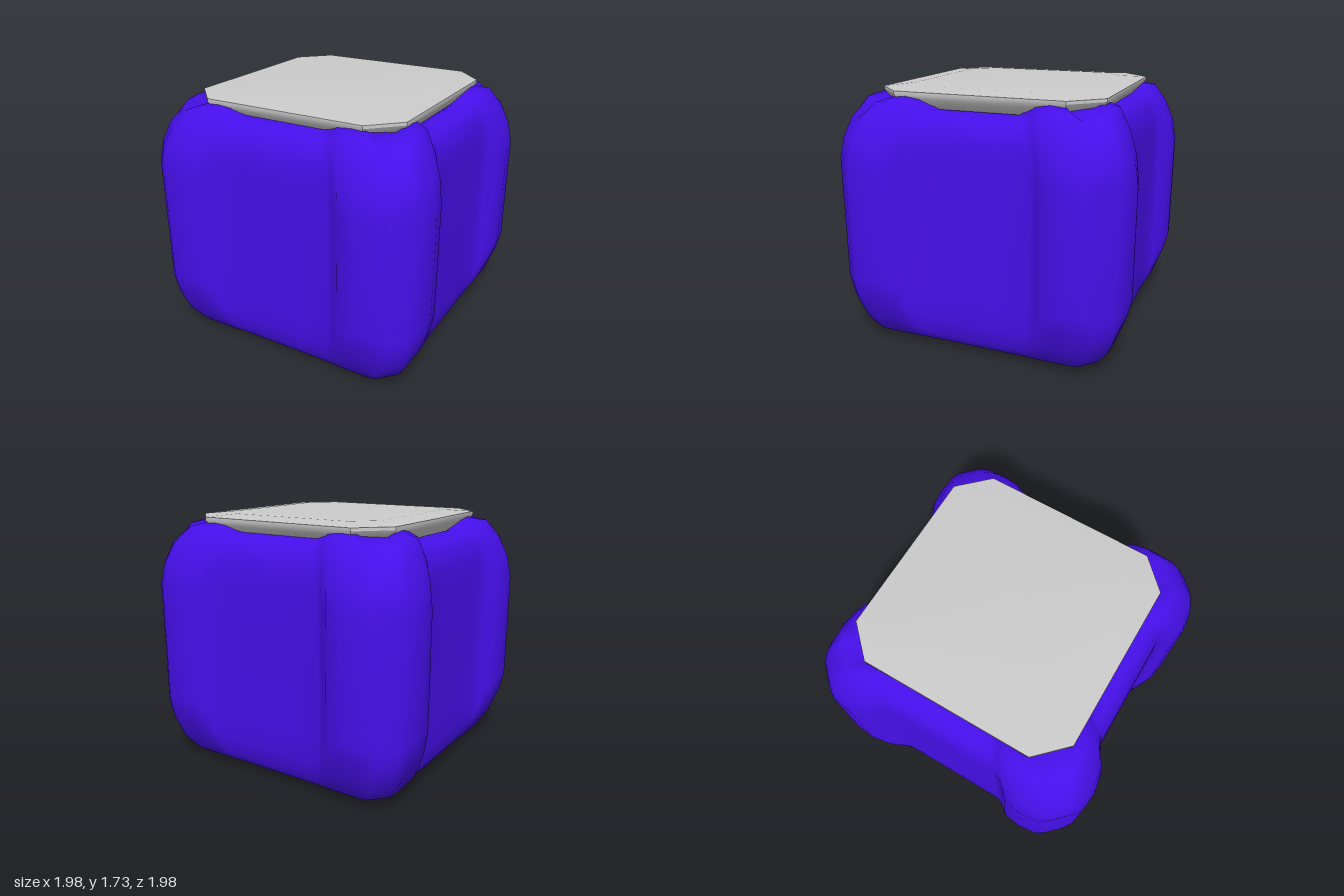
import * as THREE from 'three';
import { toCreasedNormals } from 'three/addons/utils/BufferGeometryUtils.js';

// Skins closed rings of [x, y, z] points, stacked from bottom to top, with capped ends
function loft(rings) {
  const n = rings[0].length, pos = rings.flat(2), idx = [];
  for (let k = 0; k < rings.length - 1; k++) {
    for (let i = 0; i < n; i++) {
      const j = (i + 1) % n, a = k * n + i, b = k * n + j;
      idx.push(a, b, b + n, a, b + n, a + n);
    }
  }
  const cap = (ring, base, up) => {
    const c = pos.length / 3;
    pos.push(0, ring.reduce((s, p) => s + p[1], 0) / n, 0);
    for (let i = 0; i < n; i++) {
      const j = (i + 1) % n;
      if (up) idx.push(base + i, base + j, c);
      else idx.push(base + j, base + i, c);
    }
  };
  cap(rings[0], 0, false);
  cap(rings[rings.length - 1], (rings.length - 1) * n, true);
  const g = new THREE.BufferGeometry();
  g.setAttribute('position', new THREE.Float32BufferAttribute(pos, 3));
  g.setIndex(idx);
  g.computeVertexNormals();
  return g;
}

// Turns a point of the front side onto side s (quarter turns about y)
function turn(x, y, z, s) {
  const c = [1, 0, -1, 0][s], k = [0, 1, 0, -1][s];
  return [c * x + k * z, y, -k * x + c * z];
}

// Half of one side in plan: [distance from middle, bulge of the corner post 0..1]
const half = [[0.2, 0], [0.4, 0], [0.46, 0.3], [0.52, 0.8], [0.64, 1], [0.78, 0.85], [0.84, 0.45]];
const side = [...half.map(([u, t]) => [-u, t]).reverse(), [0, 0], ...half];

// Levels: wall distance, wall height, post distance, post height
const levels = [
  [0.6, 0, 0.6, 0.01], [0.68, 0.015, 0.66, 0.02], [0.8, 0.06, 0.82, 0.07],
  [0.85, 0.13, 0.9, 0.21], [0.87, 0.25, 0.96, 0.37], [0.875, 0.4, 0.99, 0.5],
  [0.875, 0.85, 0.99, 0.86], [0.875, 1.3, 0.99, 1.22], [0.87, 1.42, 0.96, 1.38],
  [0.845, 1.53, 0.9, 1.53], [0.79, 1.6, 0.82, 1.66], [0.7, 1.635, 0.68, 1.695],
  [0.62, 1.6, 0.58, 1.62],
];

function bodyRing([w, yw, c, yc], k) {
  const ring = [];
  for (let s = 0; s < 4; s++) {
    for (const [u, t] of side) {
      // The two side walls end a little lower than the front and back
      const drop = k > 9 && s % 2 ? 0.03 * (1 - t) : 0;
      ring.push(turn(u * c / 0.99, yw + t * (yc - yw) - drop, w + t * (c - w), s));
    }
  }
  return ring;
}

// Octagonal lid ring: half width and height
function lidRing([r, y]) {
  const ring = [];
  for (let s = 0; s < 4; s++) {
    for (const u of [-0.75, 0.75]) {
      const p = turn(u * r, y, r, s);
      if (p[2] < 0) p[2] *= 1.03;
      ring.push(p);
    }
  }
  return ring;
}

export function createModel() {
  const group = new THREE.Group();

  // Rounded block with four bulging corner posts
  const body = new THREE.Mesh(
    loft(levels.map(bodyRing)),
    new THREE.MeshStandardMaterial({ color: 0x460fea }),
  );
  body.name = 'body';
  group.add(body);

  // Slightly domed lid with a tapered underside
  const lidLevels = [[0.64, 1.56], [0.69, 1.61], [0.73, 1.66], [0.745, 1.69], [0.745, 1.71], [0.58, 1.725]];
  const lid = new THREE.Mesh(
    toCreasedNormals(loft(lidLevels.map(lidRing)), 0.5),
    new THREE.MeshStandardMaterial({ color: 0xcccccc }),
  );
  lid.name = 'lid';
  group.add(lid);

  return group;
}
